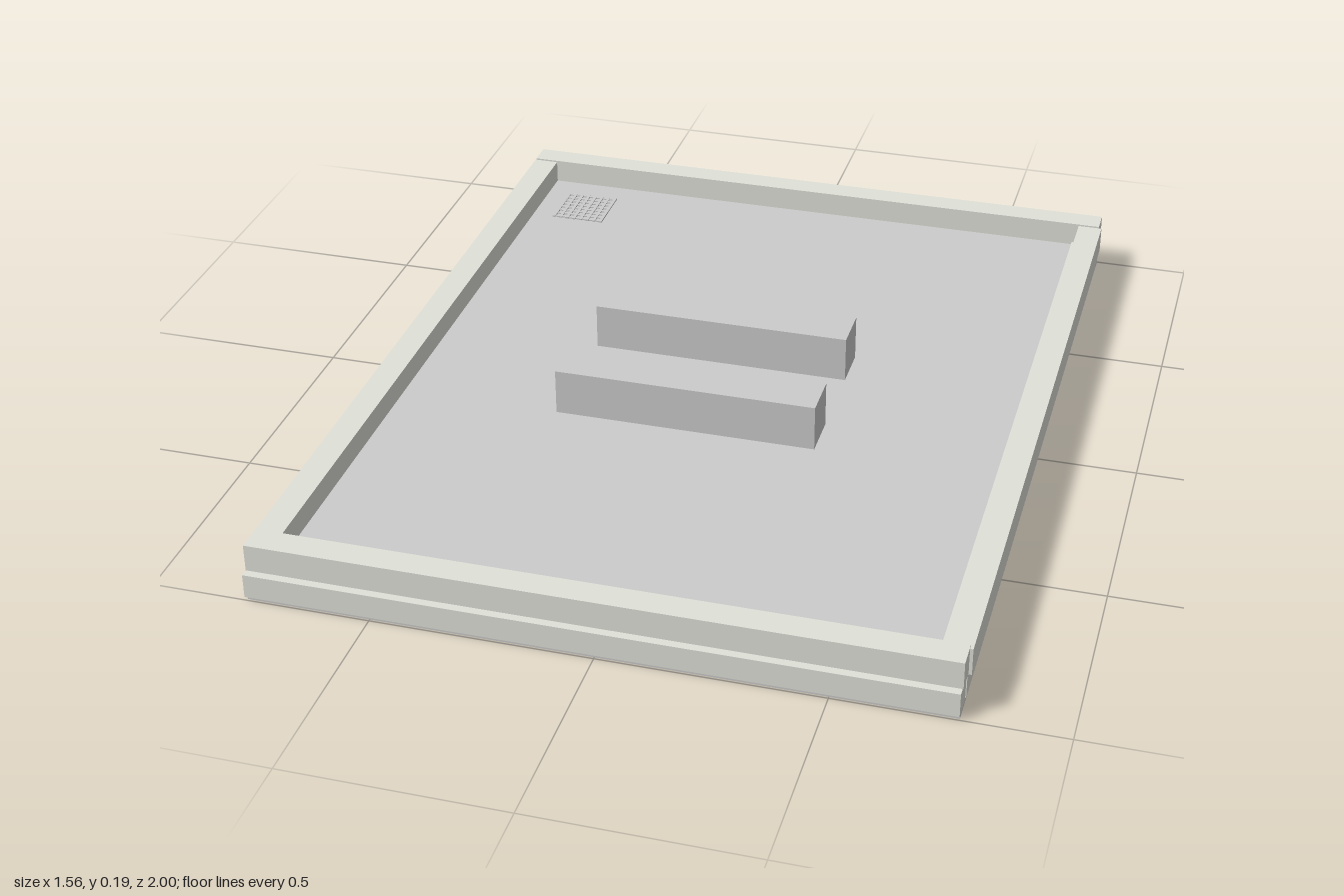
import * as THREE from 'three';

const grey = new THREE.MeshStandardMaterial({ color: 0xcccccc });
const trim = new THREE.MeshStandardMaterial({ color: 0xe0e1d8 });

// Box given by its extents along x, y and z
function box(name, [x0, x1], [y0, y1], [z0, z1], material) {
  const mesh = new THREE.Mesh(new THREE.BoxGeometry(x1 - x0, y1 - y0, z1 - z0), material);
  mesh.position.set((x0 + x1) / 2, (y0 + y1) / 2, (z0 + z1) / 2);
  mesh.name = name;
  return mesh;
}

export function createModel() {
  const model = new THREE.Group();
  model.name = 'framedPanel';

  // Underside sheet and recessed floor panel
  model.add(box('underside', [-0.78, 0.77], [0, 0.01], [-0.995, 0.995], grey));
  model.add(box('floorPanel', [-0.765, 0.755], [0.01, 0.076], [-0.985, 0.98], grey));

  // Lower frame and raised upper frame, with a thin groove between them at front and back
  const lower = new THREE.Group();
  lower.name = 'lowerFrame';
  lower.add(
    box('lowerBackRail', [-0.785, 0.77], [0.008, 0.065], [-1, -0.94], trim),
    box('lowerFrontRail', [-0.785, 0.77], [0.008, 0.065], [0.94, 1], trim),
    box('lowerLeftRail', [0.71, 0.772], [0.012, 0.068], [-0.94, 0.94], trim),
    box('lowerRightRail', [-0.783, -0.72], [0.012, 0.068], [-0.94, 0.94], trim)
  );
  const upper = new THREE.Group();
  upper.name = 'upperFrame';
  upper.add(
    box('upperBackRail', [-0.78, 0.773], [0.072, 0.136], [-1, -0.94], trim),
    box('upperFrontRail', [-0.78, 0.773], [0.072, 0.136], [0.925, 0.99], trim),
    box('upperLeftRail', [0.72, 0.78], [0.068, 0.132], [-0.94, 0.935], trim),
    box('upperRightRail', [-0.782, -0.72], [0.068, 0.132], [-0.94, 0.925], trim),
    box('innerLip', [0.705, 0.72], [0.07, 0.082], [-0.94, 0.925], trim)
  );
  model.add(lower, upper);

  // Two parallel bars standing on the floor
  for (const z of [-0.162, 0.157]) {
    model.add(box('bar', [-0.34, 0.282], [0.07, 0.187], [z - 0.056, z + 0.056], grey));
  }

  // Small crossed grille in the back corner
  const grille = new THREE.Group();
  grille.name = 'cornerGrille';
  for (let i = 0; i < 8; i++) {
    const x = -0.665 + i * 0.0185;
    const z = -0.87 + i * 0.0185;
    grille.add(box('grilleSlat', [x, x + 0.008], [0.074, 0.08], [-0.87, -0.73], grey));
    grille.add(box('grilleCrossbar', [-0.665, -0.53], [0.074, 0.079], [z, z + 0.008], grey));
  }
  model.add(grille);

  return model;
}
